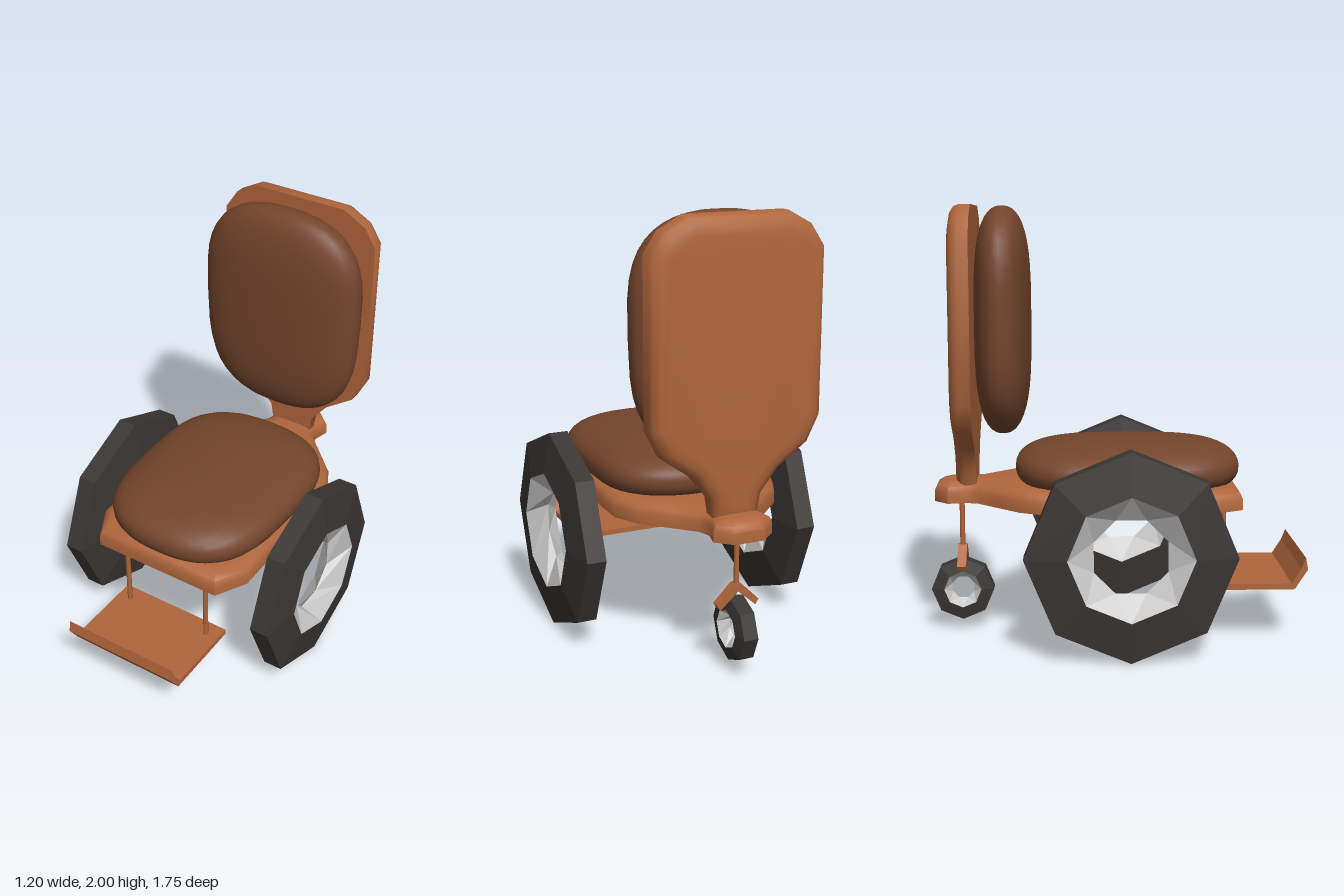
import * as THREE from 'three';
import { toCreasedNormals, mergeVertices } from 'three/addons/utils/BufferGeometryUtils.js';

const mat = (color, extra = {}) => new THREE.MeshStandardMaterial({ color, ...extra });

export function createModel() {
  const group = new THREE.Group();
  const wood = mat(0xb0663c);
  const leather = mat(0x74452c);
  const rubber = mat(0x3a3634, { flatShading: true });
  const metal = mat(0xcccccc, { flatShading: true });

  const add = (name, geometry, material, parent = group) => {
    const mesh = new THREE.Mesh(geometry, material);
    mesh.name = name;
    parent.add(mesh);
    return mesh;
  };

  // Mirrored board: flat sharp-edged on one face, rounded on the other
  const panel = (half) => {
    const points = [...half, ...half.map(([x, y]) => [-x, y]).reverse()];
    const shape = new THREE.Shape(points.map(([x, y]) => new THREE.Vector2(x, y)));
    const geo = new THREE.ExtrudeGeometry(shape, {
      depth: 0.05, bevelThickness: 0.05, bevelSize: 0.08, bevelOffset: -0.08, bevelSegments: 3,
    });
    const p = geo.attributes.position;
    for (let i = 0; i < p.count; i++) p.setZ(i, Math.max(0, p.getZ(i)));
    return toCreasedNormals(geo, 0.8);
  };

  // Seat board with a rounded tail that carries the backrest and caster
  const base = panel([
    [0.32, -0.565], [0.4, -0.42], [0.4, 0.32], [0.34, 0.44], [0.23, 0.55],
    [0.14, 0.64], [0.12, 0.7], [0.14, 0.78], [0.07, 0.845],
  ]);
  base.rotateX(-Math.PI / 2).translate(0, 0.635, 0);
  add('seatBase', base, wood);

  // Backrest board narrowing to a neck
  const back = panel([
    [0.1, 0.68], [0.12, 0.8], [0.2, 0.9], [0.34, 1.0], [0.4, 1.12],
    [0.4, 1.85], [0.34, 1.94], [0.23, 2.0],
  ]);
  back.rotateY(Math.PI).translate(0, 0, -0.648);
  add('backrest', back, wood);

  // Pillow: a sphere squared off by powers, slightly wider at its upper end
  const pillow = () => {
    let geo = new THREE.SphereGeometry(1, 28, 22);
    geo.deleteAttribute('uv');
    geo.deleteAttribute('normal');
    const p = geo.attributes.position;
    const pow = (v, n) => Math.sign(v) * Math.abs(v) ** (2 / n);
    for (let i = 0; i < p.count; i++) {
      const x = pow(p.getX(i), 2.4), y = pow(p.getY(i), 3.4), z = pow(p.getZ(i), 2.4);
      p.setXYZ(i, 0.407 * x * (1 + 0.035 * y), 0.523 * y, 0.13 * z);
    }
    geo = mergeVertices(geo, 1e-4);
    geo.computeVertexNormals();
    return geo;
  };
  add('backCushion', pillow(), leather).position.set(0, 1.475, -0.52);
  const seat = add('seatCushion', pillow(), leather);
  seat.rotation.x = -Math.PI / 2;
  seat.position.set(0, 0.795, 0.055);

  // Eight-sided wheel: tapered tyre and a funnel-shaped rim
  const wheel = (name, [x, y, z], outer, inner, hole, halfWidth, halfTread) => {
    const lathe = (pts) => new THREE.LatheGeometry(pts.map((a) => new THREE.Vector2(...a)), 8);
    const tyre = lathe([
      [inner, -halfWidth], [outer, -halfTread], [outer, halfTread], [inner, halfWidth],
    ]);
    const rim = lathe([[inner, halfWidth], [hole, 0], [inner, -halfWidth]]);
    // The middle ring is turned half a side
    const p = rim.attributes.position;
    const v = new THREE.Vector3(), axis = new THREE.Vector3(0, 1, 0);
    for (let i = 1; i < p.count; i += 3) {
      v.fromBufferAttribute(p, i).applyAxisAngle(axis, Math.PI / 8);
      p.setXYZ(i, v.x, v.y, v.z);
    }
    const g = new THREE.Group();
    g.name = name;
    add('tyre', tyre.rotateZ(Math.PI / 2), rubber, g);
    add('rim', rim.rotateZ(Math.PI / 2), metal, g);
    g.position.set(x, y, z);
    group.add(g);
  };
  wheel('leftWheel', [0.525, 0.475, 0.05], 0.47, 0.28, 0.177, 0.075, 0.045);
  wheel('rightWheel', [-0.525, 0.475, 0.05], 0.47, 0.28, 0.177, 0.075, 0.045);
  wheel('casterWheel', [0, 0.2, -0.725], 0.148, 0.088, 0.055, 0.048, 0.034);

  // Upright rods
  const rod = (name, x, z, y0, y1) =>
    add(name, new THREE.CylinderGeometry(0.012, 0.012, y1 - y0, 8), wood)
      .position.set(x, (y0 + y1) / 2, z);
  rod('casterRod', 0, -0.725, 0.39, 0.66);
  rod('leftFootrestRod', 0.22, 0.49, 0.27, 0.66);
  rod('rightFootrestRod', -0.22, 0.49, 0.27, 0.66);

  // Straight extrusion of a polygon
  const prism = (pts, depth) => new THREE.ExtrudeGeometry(
    new THREE.Shape(pts.map((a) => new THREE.Vector2(...a))),
    { depth, bevelEnabled: false },
  ).translate(0, 0, -depth / 2);

  // Chevron fork over the caster
  const fork = prism([
    [-0.1, 0.325], [-0.085, 0.3], [0, 0.375], [0.085, 0.3], [0.1, 0.325], [0.015, 0.41], [-0.015, 0.41],
  ], 0.042);
  add('casterFork', fork, wood).position.z = -0.725;

  // Footrest plate with a raised front lip, profile given as (z, y)
  const foot = prism([
    [0.42, 0.253], [0.815, 0.253], [0.875, 0.345], [0.865, 0.4], [0.845, 0.35], [0.8, 0.28], [0.42, 0.28],
  ], 0.57);
  add('footrest', foot.rotateY(-Math.PI / 2), wood);

  return group;
}
